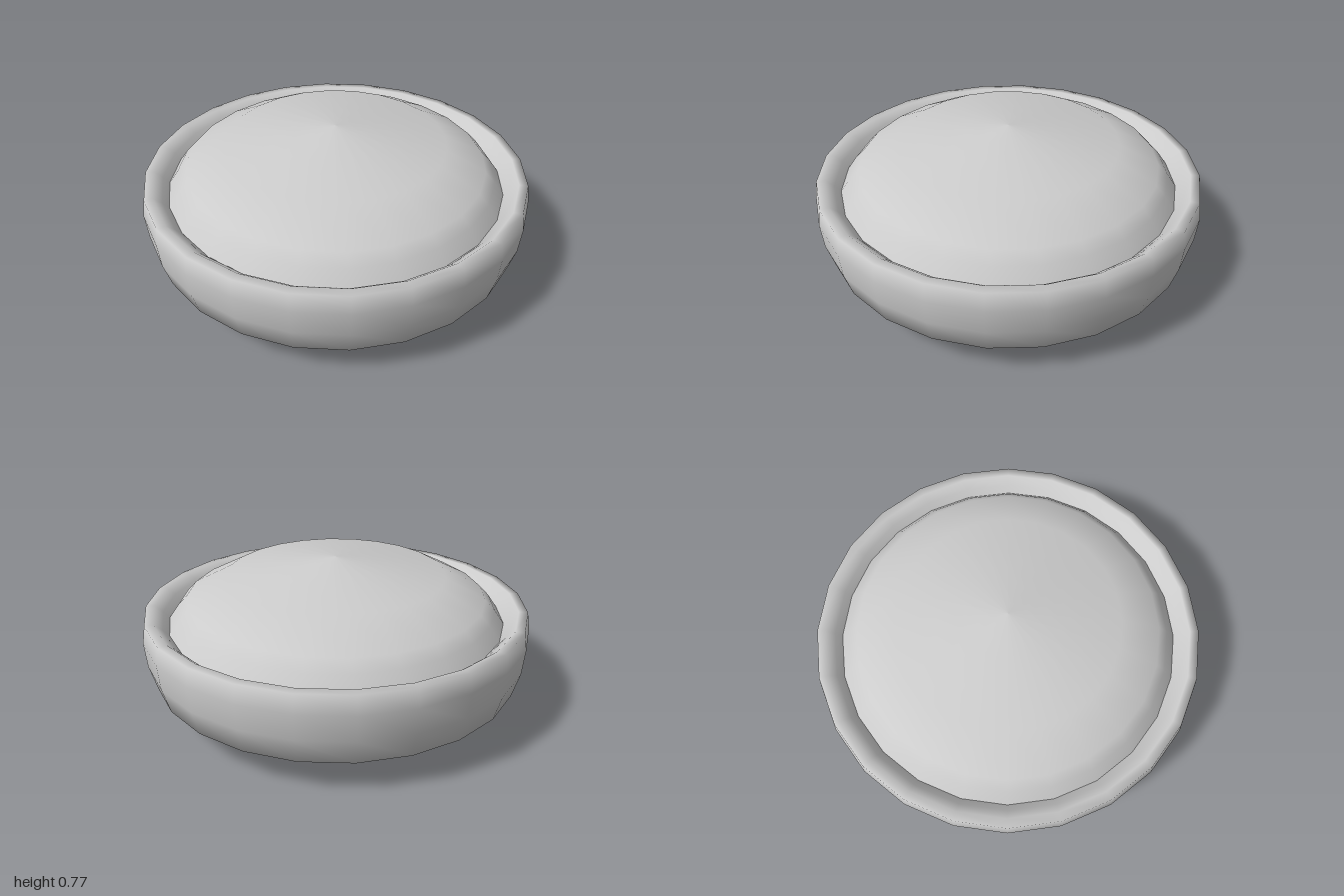
import * as THREE from 'three';

// Smooth turned shape from [radius, height] points, listed from bottom to top
function turned(name, points, material) {
  const profile = points.map(([r, y]) => new THREE.Vector2(r, y));
  const mesh = new THREE.Mesh(new THREE.LatheGeometry(profile, 24), material);
  mesh.name = name;
  return mesh;
}

export function createModel() {
  const group = new THREE.Group();
  group.name = 'domedDish';
  const material = new THREE.MeshStandardMaterial({ color: 0xcccccc, side: THREE.DoubleSide });

  // Rounded bowl, its rim rolling inward and down into the groove
  group.add(turned('bowl', [
    [0, 0], [0.45, 0.01], [0.64, 0.02], [0.79, 0.065], [0.955, 0.18],
    [0.99, 0.31], [1, 0.44], [0.985, 0.53], [0.94, 0.53], [0.9, 0.495], [0.87, 0.46],
  ], material));

  // Shallow domed filling rising out of the groove to a soft point
  group.add(turned('dome', [
    [0.87, 0.46], [0.82, 0.53], [0.77, 0.582], [0.565, 0.688], [0, 0.77],
  ], material));

  return group;
}
